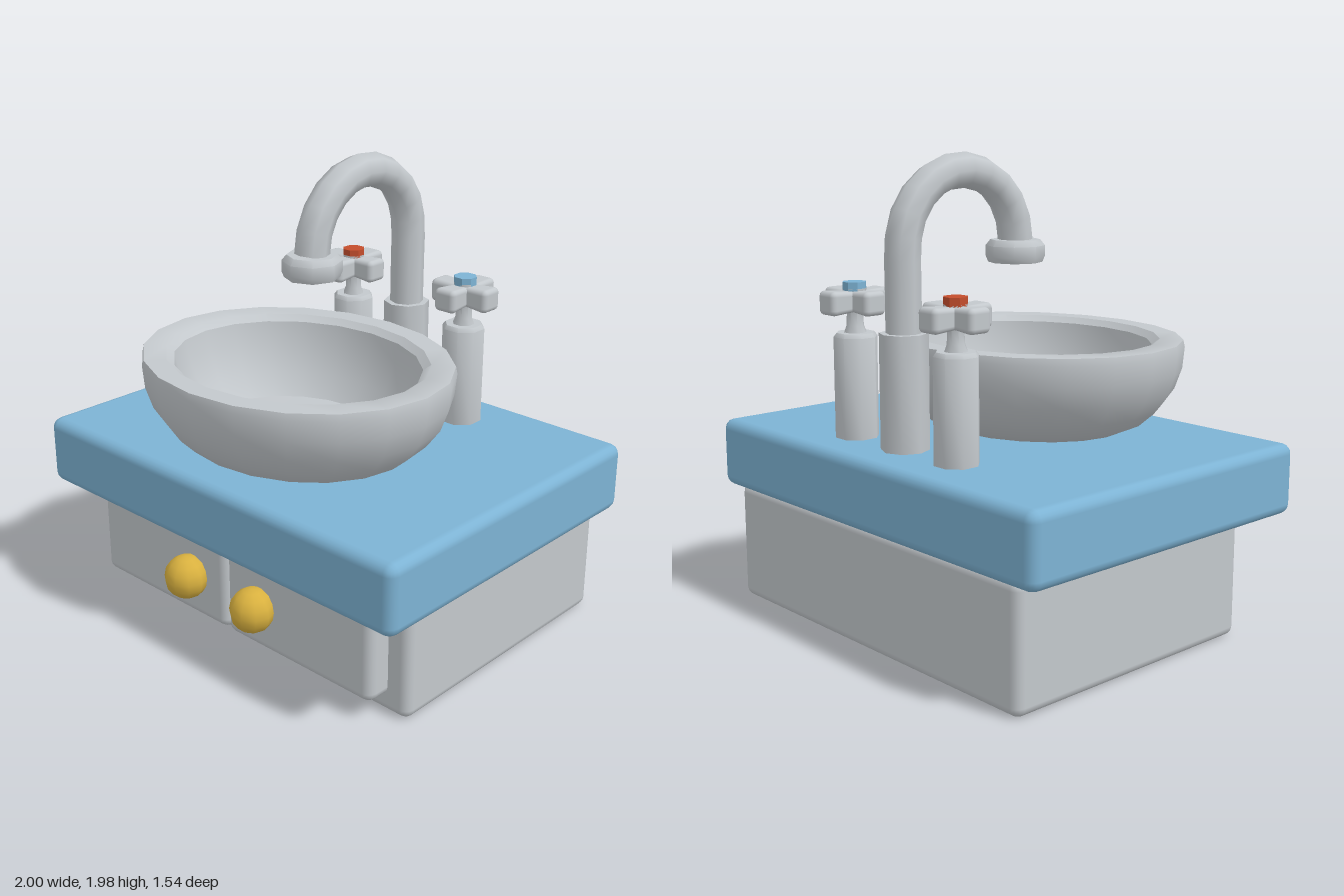
import * as THREE from 'three';
import { toCreasedNormals } from 'three/addons/utils/BufferGeometryUtils.js';
import { RoundedBoxGeometry } from 'three/addons/geometries/RoundedBoxGeometry.js';

const material = (name, color) => {
  const m = new THREE.MeshStandardMaterial({ color });
  m.name = name;
  return m;
};

export function createModel() {
  const grey = material('grey', 0xc3c8cc);
  const blue = material('blue', 0x7db3d4);
  const gold = material('gold', 0xd9b13f);
  const red = material('red', 0xc44d2c);
  const model = new THREE.Group();
  model.name = 'washbasin';

  const add = (parent, name, geometry, mat, x = 0, y = 0, z = 0) => {
    const mesh = new THREE.Mesh(geometry, mat);
    mesh.name = name;
    mesh.position.set(x, y, z);
    parent.add(mesh);
    return mesh;
  };
  // Rounded box given by its extents
  const box = (parent, name, mat, [x0, x1], [y0, y1], [z0, z1], r) =>
    add(parent, name, new RoundedBoxGeometry(x1 - x0, y1 - y0, z1 - z0, 2, r), mat,
      (x0 + x1) / 2, (y0 + y1) / 2, (z0 + z1) / 2);
  // Turned profile, listed from the bottom up
  const turned = (points, sides = 8, phi = 0, depth = 1, crease = 0.9) => {
    const g = new THREE.LatheGeometry(points.map(p => new THREE.Vector2(...p)), sides, phi);
    g.scale(1, 1, depth);
    return toCreasedNormals(g, crease);
  };

  // Cabinet and countertop
  box(model, 'cabinet', grey, [-0.9, 0.9], [0, 0.52], [-0.745, 0.5], 0.04);
  box(model, 'countertop', blue, [-1, 1], [0.5, 0.8], [-0.77, 0.725], 0.045);

  // Doors with round knobs
  for (const s of [-1, 1]) {
    const side = s > 0 ? 'left' : 'right';
    box(model, side + 'Door', grey, s > 0 ? [0, 0.8] : [-0.8, 0], [0.08, 0.475], [0.46, 0.605], 0.04);
    add(model, side + 'Knob', new THREE.SphereGeometry(0.096, 10, 8), gold, s * 0.2, 0.28, 0.645);
  }

  // Oval bowl: outside, rim, inside and floor
  add(model, 'bowl', turned([
    [0, 0.8], [0.38, 0.8], [0.45, 0.815], [0.53, 0.85], [0.6, 0.91], [0.66, 0.99],
    [0.693, 1.08], [0.702, 1.17], [0.695, 1.2], [0.59, 1.2], [0.555, 1.175],
    [0.535, 1.09], [0.48, 0.96], [0.405, 0.87], [0, 0.865],
  ], 20, 0, 0.843, 0.65), grey, 0, 0, 0.177);
  add(model, 'drain', turned([[0.1, 0.86], [0.1, 0.885], [0.08, 0.895], [0, 0.895]]), grey, 0, 0, 0.17);

  // Faucet: base, swan-neck pipe and nozzle
  const faucet = new THREE.Group();
  faucet.name = 'faucet';
  model.add(faucet);
  add(faucet, 'faucetBase', turned([[0, 0.79], [0.1, 0.79], [0.1, 1.275], [0, 1.275]]), grey, 0, 0, -0.522);
  const path = [1.2, 1.34, 1.48].map(y => new THREE.Vector3(0, y, -0.522));
  for (let i = 0; i <= 10; i++) {
    const a = Math.PI * i / 10;
    path.push(new THREE.Vector3(0, 1.605 + 0.302 * Math.sin(a), -0.22 - 0.302 * Math.cos(a)));
  }
  add(faucet, 'pipe', new THREE.TubeGeometry(new THREE.CatmullRomCurve3(path), 15, 0.073, 8), grey);
  add(faucet, 'nozzle', turned([
    [0, 1.515], [0.115, 1.515], [0.125, 1.54], [0.125, 1.585], [0.105, 1.61], [0, 1.61],
  ]), grey, 0, 0, 0.082);

  // Hot and cold taps with cross handles
  for (const s of [-1, 1]) {
    const tap = new THREE.Group();
    tap.name = s > 0 ? 'coldTap' : 'hotTap';
    tap.position.set(s * 0.32, 0, -0.524);
    model.add(tap);
    add(tap, 'tapBase', turned([
      [0, 0.79], [0.093, 0.79], [0.093, 1.225], [0.08, 1.242], [0, 1.242],
    ], 8, Math.PI / 8), grey);
    add(tap, 'tapStem', turned([
      [0.052, 1.23], [0.037, 1.27], [0.034, 1.33], [0.05, 1.36], [0.05, 1.425], [0, 1.425],
    ], 8, Math.PI / 8), grey);
    for (let i = 0; i < 4; i++) {
      const a = i * Math.PI / 2;
      const arm = new RoundedBoxGeometry(0.15, 0.1, 0.106, 2, 0.022);
      // Narrow each arm toward the hub
      const p = arm.attributes.position;
      for (let k = 0; k < p.count; k++) {
        if (p.getX(k) < 0) {
          p.setZ(k, p.getZ(k) * 0.8);
          p.setY(k, p.getY(k) * 0.85);
        }
      }
      add(tap, 'handleArm', arm, grey, 0.073 * Math.cos(a), 1.372, -0.073 * Math.sin(a)).rotation.y = a;
    }
    add(tap, 'handleCap', turned([
      [0.05, 1.415], [0.05, 1.452], [0, 1.452],
    ], 8, Math.PI / 8, 1, 0.5), s > 0 ? blue : red);
  }
  return model;
}
